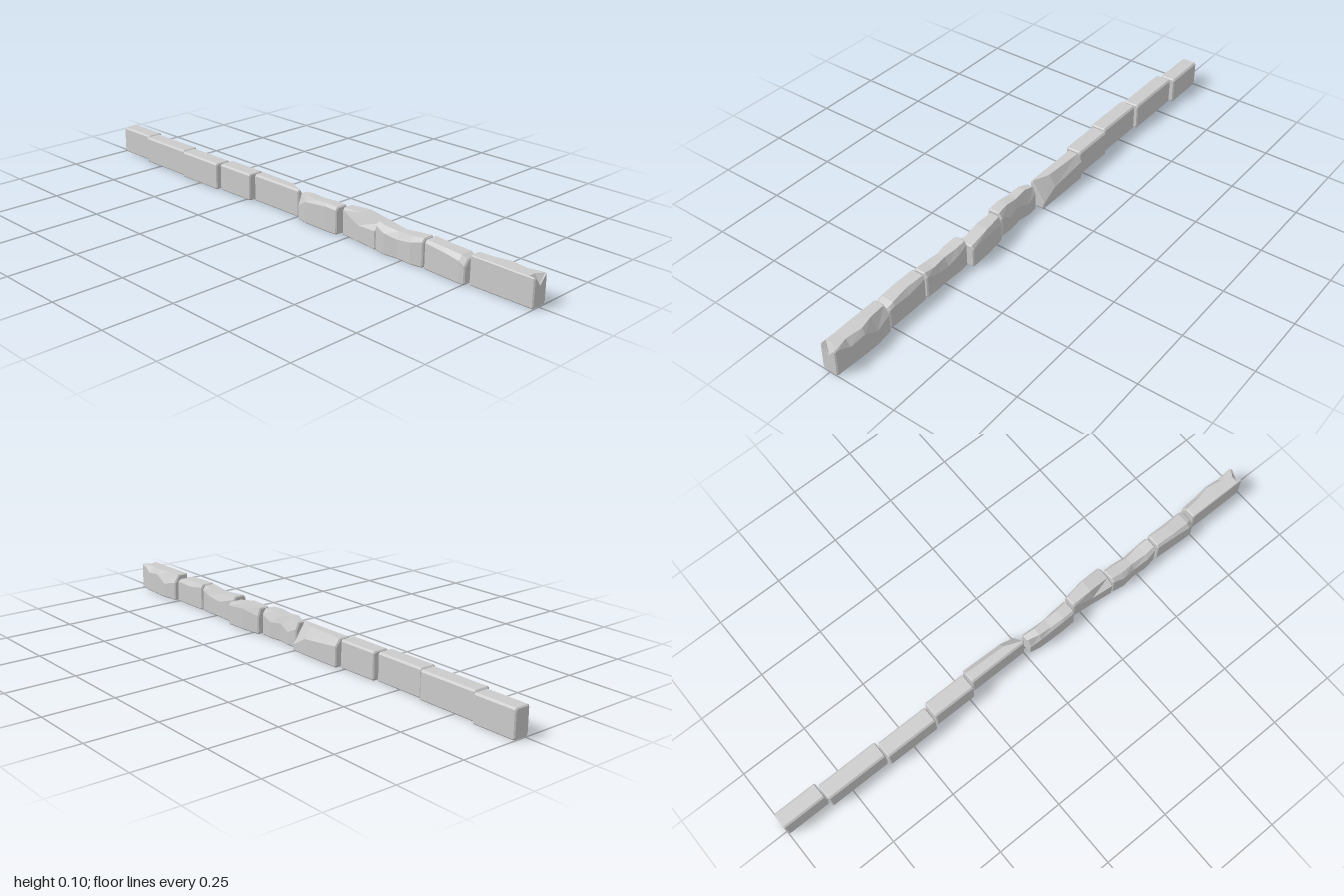
import * as THREE from 'three';

const material = new THREE.MeshStandardMaterial({ color: 0xcccccc, flatShading: true, side: THREE.DoubleSide });
const BEVEL = 0.004;

// Cross-section of a brick: top height, back and front z, then the height and
// depth of the front and back top chips, and a dip in the middle of the top.
function ring([x, top, zb, zf, fy, fz, by, bz, dip = 0], inset = 0) {
  const t = top - inset, f = zf - inset, b = zb + inset, y0 = inset;
  return [
    [f - BEVEL, y0], [f, y0 + BEVEL],
    [f, t - fy], [f - fz, t],
    [(f - fz + b + bz) / 2, t - dip],
    [b + bz, t], [b, t - by],
    [b, y0 + BEVEL], [b + BEVEL, y0],
  ].map(([z, y]) => [x, y, z]);
}

// Skin the cross-sections along x and close both ends with a small bevel
function brick(name, sections) {
  const first = sections[0], last = sections[sections.length - 1];
  const inner = sections.map((s) => [...s]);
  inner[0][0] += BEVEL;
  inner[inner.length - 1][0] -= BEVEL;
  const rings = [ring(first, BEVEL), ...inner.map((s) => ring(s)), ring(last, BEVEL)];
  const n = rings[0].length, pos = [];
  const tri = (...points) => points.forEach((p) => pos.push(...p));
  for (let s = 0; s < rings.length - 1; s++) {
    for (let i = 0; i < n; i++) {
      const j = (i + 1) % n, a = rings[s], b = rings[s + 1];
      tri(a[i], b[i], b[j]);
      tri(a[i], b[j], a[j]);
    }
  }
  const centre = (s) => [s[0], 0.045, (s[2] + s[3]) / 2];
  const start = rings[0], end = rings[rings.length - 1];
  for (let i = 0; i < n; i++) {
    const j = (i + 1) % n;
    tri(centre(first), start[i], start[j]);
    tri(centre(last), end[j], end[i]);
  }
  const geometry = new THREE.BufferGeometry();
  geometry.setAttribute('position', new THREE.Float32BufferAttribute(pos, 3));
  geometry.computeVertexNormals();
  const mesh = new THREE.Mesh(geometry, material);
  mesh.name = name;
  return mesh;
}

export function createModel() {
  const group = new THREE.Group();
  group.name = 'brickRow';

  // Intact bricks: x range and z range
  [
    [-1, -0.837, -0.047, 0.013],
    [-0.832, -0.602, -0.033, 0.029],
    [-0.597, -0.4, -0.023, 0.039],
    [-0.392, -0.23, -0.033, 0.029],
  ].forEach(([x0, x1, zb, zf], i) => {
    const section = (x) => [x, 0.099, zb, zf, 0.006, 0.006, 0.006, 0.006];
    group.add(brick(`intactBrick${i + 1}`, [section(x0), section(x1)]));
  });

  // Brick with its back corner sheared off toward the middle of the row
  group.add(brick('shearedBrick', [
    [-0.222, 0.099, -0.047, 0.013, 0.006, 0.006, 0.025, 0.02],
    [-0.06, 0.099, -0.047, 0.013, 0.006, 0.006, 0.04, 0.026],
    [0.005, 0.099, -0.046, 0.013, 0.006, 0.006, 0.075, 0.05],
  ]));

  // Brick broken on its back and on the near front corner
  group.add(brick('brokenBrick', [
    [0.017, 0.092, -0.022, 0.028, 0.04, 0.015, 0.025, 0.012],
    [0.06, 0.099, -0.025, 0.036, 0.022, 0.012, 0.05, 0.02],
    [0.11, 0.095, -0.018, 0.037, 0.012, 0.01, 0.03, 0.01],
    [0.16, 0.099, -0.025, 0.038, 0.01, 0.008, 0.04, 0.018],
    [0.21, 0.097, -0.023, 0.036, 0.01, 0.008, 0.02, 0.012],
  ]));

  // Brick with a slanting split across its front
  group.add(brick('splitBrick', [
    [0.22, 0.097, -0.033, 0.018, 0.008, 0.006, 0.03, 0.01],
    [0.3, 0.099, -0.042, 0.026, 0.04, 0.014, 0.02, 0.008],
    [0.385, 0.085, -0.045, 0.036, 0.02, 0.028, 0.012, 0.008],
  ]));

  // Brick worn hollow along the top
  group.add(brick('hollowBrick', [
    [0.385, 0.099, -0.02, 0.036, 0.014, 0.012, 0.012, 0.008],
    [0.43, 0.094, -0.024, 0.044, 0.02, 0.016, 0.02, 0.012],
    [0.48, 0.09, -0.022, 0.038, 0.024, 0.014, 0.03, 0.016],
    [0.54, 0.093, -0.024, 0.042, 0.018, 0.014, 0.024, 0.01],
    [0.585, 0.098, -0.022, 0.035, 0.012, 0.01, 0.015, 0.01],
  ]));

  // Brick with a sloping, worn top
  group.add(brick('slopedBrick', [
    [0.592, 0.099, -0.022, 0.037, 0.01, 0.008, 0.012, 0.008],
    [0.67, 0.096, -0.024, 0.041, 0.012, 0.01, 0.02, 0.014],
    [0.735, 0.091, -0.024, 0.044, 0.016, 0.014, 0.012, 0.008],
    [0.757, 0.083, -0.022, 0.042, 0.02, 0.018, 0.01, 0.008],
  ]));

  // End brick with a ragged back edge and a notch in its end
  group.add(brick('notchedEndBrick', [
    [0.765, 0.1, -0.03, 0.029, 0.003, 0.003, 0.03, 0.02],
    [0.83, 0.1, -0.038, 0.029, 0.003, 0.003, 0.045, 0.024],
    [0.88, 0.1, -0.038, 0.029, 0.003, 0.003, 0.018, 0.012],
    [0.94, 0.099, -0.035, 0.029, 0.003, 0.003, 0.024, 0.018],
    [0.978, 0.1, -0.032, 0.029, 0.003, 0.003, 0.006, 0.005],
    [1, 0.1, -0.032, 0.029, 0.003, 0.003, 0.004, 0.004, 0.028],
  ]));

  return group;
}
